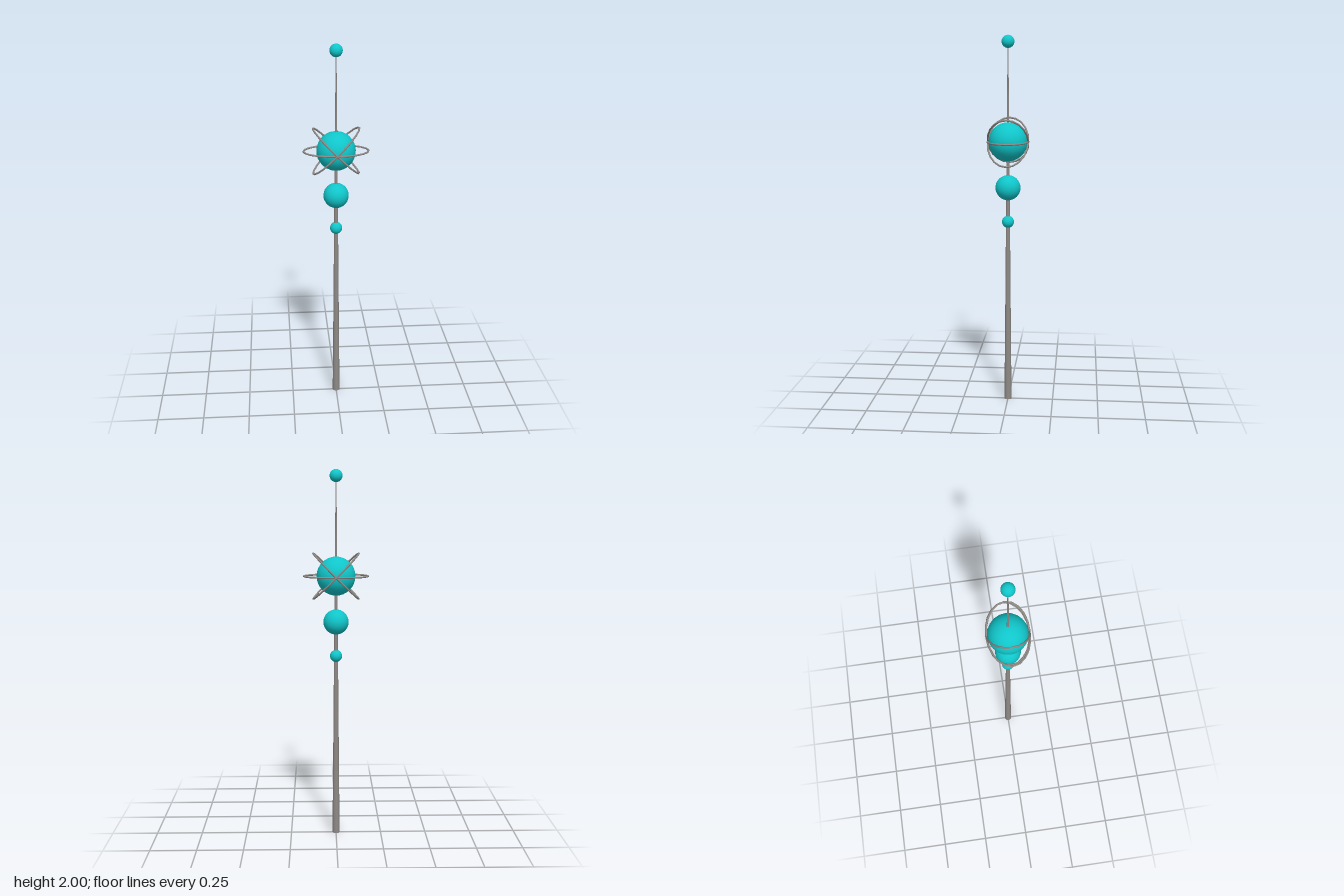
import * as THREE from 'three';

export function createModel() {
  const group = new THREE.Group();
  const teal = new THREE.MeshStandardMaterial({ color: 0x10c6ca });
  teal.name = 'teal';
  const grey = new THREE.MeshStandardMaterial({ color: 0x8e8a86 });
  grey.name = 'warm grey';

  const add = (name, geometry, material, y) => {
    const mesh = new THREE.Mesh(geometry, material);
    mesh.name = name;
    mesh.position.y = y;
    group.add(mesh);
    return mesh;
  };

  // Tapered mast running through all the balls
  const mastHeight = 1.95;
  add('mast', new THREE.CylinderGeometry(0.0025, 0.02, mastHeight, 12), grey, mastHeight / 2);

  // Balls threaded on the mast: name, radius, height
  const balls = [
    ['lowerBall', 0.033, 1.007],
    ['middleBall', 0.068, 1.193],
    ['mainBall', 0.104, 1.44],
    ['tipBall', 0.034, 1.966],
  ];
  for (const [name, radius, y] of balls) {
    add(name, new THREE.SphereGeometry(radius, 20, 16), teal, y);
  }

  // Three elliptical orbit rings, tilted about the front axis
  const ellipse = new THREE.Curve();
  ellipse.getPoint = (t, target = new THREE.Vector3()) => {
    const a = t * Math.PI * 2;
    return target.set(Math.cos(a) * 0.172, 0, Math.sin(a) * 0.109);
  };
  // Even angular steps rather than even arc length
  ellipse.getPointAt = ellipse.getPoint;
  const ringGeometry = new THREE.TubeGeometry(ellipse, 20, 0.005, 8, true);
  [['levelRing', 0], ['leftRing', Math.PI / 4], ['rightRing', -Math.PI / 4]].forEach(([name, tilt]) => {
    add(name, ringGeometry, grey, 1.44).rotation.z = tilt;
  });

  return group;
}
